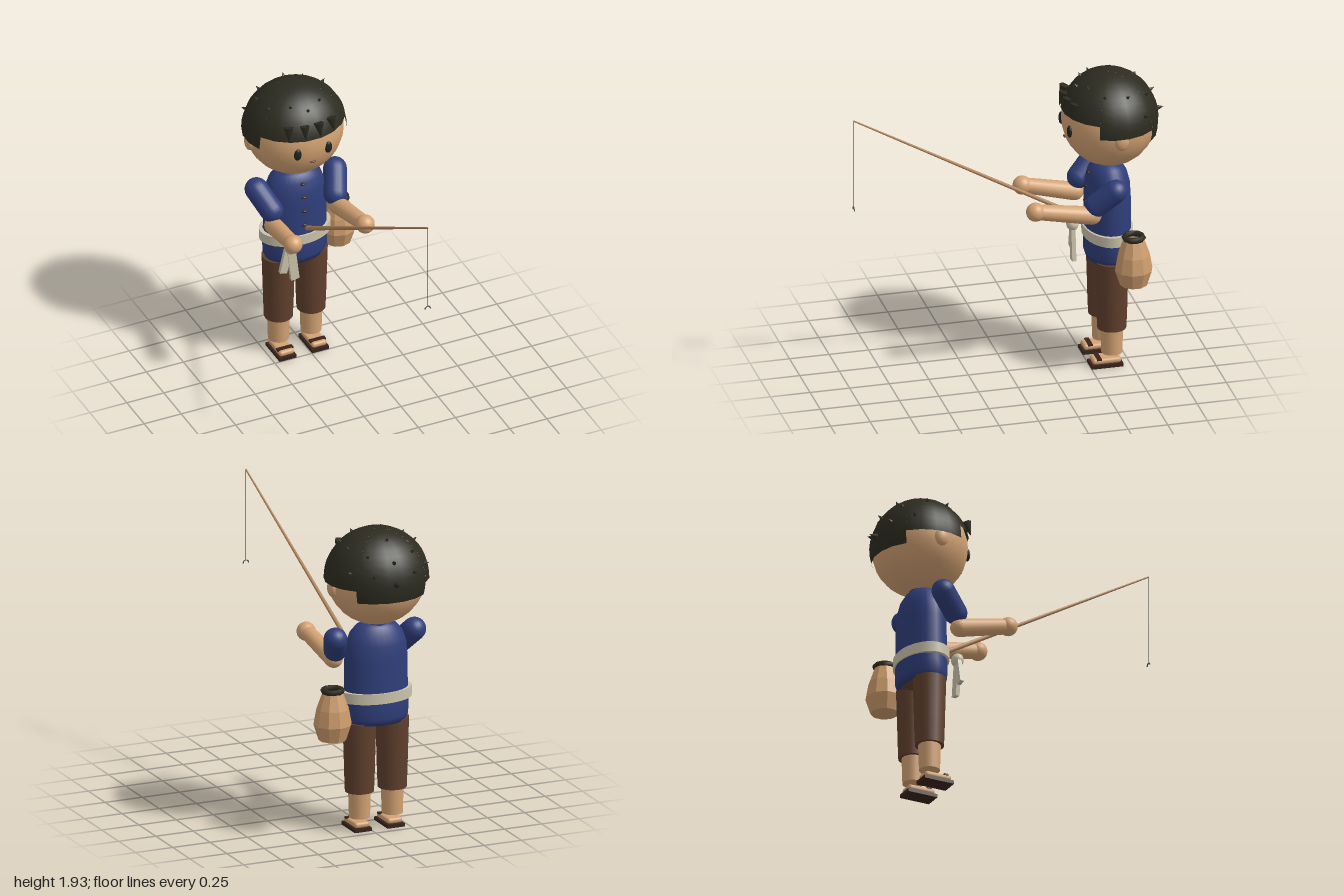
import * as THREE from 'three';
import { RoundedBoxGeometry } from 'three/addons/geometries/RoundedBoxGeometry.js';

const V = (x, y, z) => new THREE.Vector3(x, y, z);
const UP = V(0, 1, 0);
const CX = -0.05, CZ = -0.64; // body axis

export function createModel() {
  const group = new THREE.Group();
  const mat = (name, color, opts = {}) => {
    const m = new THREE.MeshStandardMaterial({ color, ...opts });
    m.name = name;
    return m;
  };
  const skin = mat('skin', 0xd3a273);
  const hair = mat('hair', 0x2c2b20, { side: THREE.DoubleSide });
  const blue = mat('blue cloth', 0x2f3e7a);
  const brown = mat('brown trousers', 0x60402d);
  const cream = mat('cream sash', 0xcbc3ab);
  const sandalMat = mat('sandal brown', 0x38231c);
  const wood = mat('rod wood', 0xb0845a);
  const wicker = mat('basket wicker', 0xcc9c6c, { flatShading: true, side: THREE.DoubleSide });
  const dark = mat('dark', 0x20221f);
  const grey = mat('hook grey', 0x55585a);

  const add = (name, geo, material, x = 0, y = 0, z = 0) => {
    const m = new THREE.Mesh(geo, material);
    m.name = name;
    m.position.set(x, y, z);
    group.add(m);
    return m;
  };
  const ball = (name, material, p, rx, ry = rx, rz = rx) => {
    const m = add(name, new THREE.SphereGeometry(1, 24, 16), material, p.x, p.y, p.z);
    m.scale.set(rx, ry, rz);
    return m;
  };
  const orient = (m, dir) => {
    m.quaternion.setFromUnitVectors(UP, dir.clone().normalize());
    return m;
  };
  // Tapered cylinder from a to b
  const limb = (name, material, a, b, ra, rb, sides = 16) => {
    const d = b.clone().sub(a), c = a.clone().lerp(b, 0.5);
    return orient(add(name, new THREE.CylinderGeometry(rb, ra, d.length(), sides), material, c.x, c.y, c.z), d);
  };

  // Head and face
  const HC = V(CX, 1.615, -0.65);
  ball('head', skin, HC, 0.308, 0.298, 0.292);
  ball('mouth', brown, V(CX - 0.002, 1.518, -0.371), 0.02, 0.007, 0.008);
  for (const s of [-1, 1]) {
    ball('ear', skin, V(CX + s * 0.3, 1.578, -0.655), 0.028, 0.056, 0.045);
    ball('eye', dark, V(CX + s * 0.103, 1.595, -0.375), 0.025, 0.04, 0.015);
  }

  // Hair cap: front, two sides and back, each reaching a different height
  const HR = V(0.328, 0.315, 0.304);
  const rad = THREE.MathUtils.degToRad;
  [['hairFront', 26, 154, 1.69], ['hairSide', 154, 225, 1.605],
    ['hairBack', 225, 315, 1.525], ['hairSide', 315, 386, 1.605]].forEach(([name, a, b, low]) => {
    const end = Math.acos((low - HC.y) / HR.y);
    const g = new THREE.SphereGeometry(1, Math.round((b - a) / 18), 12, rad(a), rad(b - a), 0, end);
    add(name, g, hair, HC.x, HC.y, HC.z).scale.copy(HR);
  });

  // Hair spikes: azimuth from the front, elevation, size
  const spike = (az, el, size) => {
    const d = V(Math.sin(rad(az)) * Math.cos(rad(el)), Math.sin(rad(el)), Math.cos(rad(az)) * Math.cos(rad(el)));
    const p = d.clone().multiply(HR).multiplyScalar(0.98).add(HC);
    orient(add('hairSpike', new THREE.ConeGeometry(size * 0.42, size, 6), hair, p.x, p.y, p.z), d);
  };
  [[30, 54], [68, 47], [107, 45], [145, 38], [125, 18], [155, 15]].forEach(([az, el]) => {
    spike(az, el, 0.06);
    spike(-az, el, 0.06);
  });
  [[0, 48, 0.06], [180, 60, 0.06], [180, 30, 0.07], [180, 5, 0.1]].forEach(a => spike(...a));

  // Fringe tufts pointing down over the brow
  for (const x of [-0.2, -0.105, -0.01, 0.085]) {
    const dx = x - CX, z = HC.z + 0.285 * Math.sqrt(1 - (dx / 0.33) ** 2);
    limb('fringeTuft', hair, V(x, 1.79, z - 0.012), V(x + dx * 0.06, 1.7, z + 0.018), 0.032, 0, 6);
  }

  // Tunic
  const profile = [[0, 0.69], [0.19, 0.69], [0.208, 0.73], [0.21, 0.8], [0.205, 0.95], [0.203, 1.1],
    [0.195, 1.19], [0.17, 1.26], [0.13, 1.305], [0.08, 1.33], [0, 1.335]];
  const tunic = add('tunic', new THREE.LatheGeometry(profile.map(p => new THREE.Vector2(...p)), 28), blue, CX, 0, CZ);
  tunic.scale.z = 0.69;
  limb('collar', blue, V(CX, 1.24, CZ), V(CX, 1.34, CZ), 0.085, 0.075, 20);
  [[1.26, 0.122], [1.17, 0.136], [1.07, 0.14], [0.97, 0.141]].forEach(([y, dz]) =>
    ball('button', sandalMat, V(CX, y, CZ + dz), 0.018, 0.009, 0.012));
  ball('hips', brown, V(CX, 0.73, CZ), 0.2, 0.07, 0.135);

  // Sash with knot and hanging tails
  const sash = add('sash', new THREE.CylinderGeometry(0.232, 0.232, 0.066, 28), cream, CX, 0.868, CZ);
  sash.scale.z = 0.66;
  ball('sashKnot', cream, V(-0.165, 0.865, -0.45), 0.043, 0.043, 0.038);
  const tail = (x, y, z, w, h, tilt) => {
    add('sashTail', new THREE.BoxGeometry(w, h, 0.026), cream, x, y, z).rotation.z = tilt;
  };
  tail(-0.2, 0.77, -0.456, 0.048, 0.16, -0.22);
  tail(-0.152, 0.735, -0.449, 0.055, 0.21, 0.12);

  // Legs, feet and sandals
  for (const s of [-1, 1]) {
    const x = CX + s * 0.11;
    limb('trouserThigh', brown, V(x, 0.4, CZ), V(x, 0.7, CZ), 0.095, 0.104, 20);
    limb('trouserCalf', brown, V(x, 0.25, CZ), V(x, 0.41, CZ), 0.09, 0.096, 20);
    limb('shin', skin, V(x, 0.083, CZ), V(x, 0.28, CZ), 0.065, 0.071, 18);
    add('foot', new RoundedBoxGeometry(0.1, 0.036, 0.18, 2, 0.016), skin, x, 0.04, -0.6);
    add('sandalSole', new THREE.BoxGeometry(0.115, 0.022, 0.2), sandalMat, x, 0.011, -0.6);
    add('sandalStrap', new THREE.BoxGeometry(0.106, 0.01, 0.03), sandalMat, x, 0.056, -0.55);
  }

  // Arms: rounded sleeves, forearms and hands
  const arm = (shoulder, elbow, wrist) => {
    const sleeveEnd = V(elbow.x, 1.13, -0.515);
    const d = sleeveEnd.clone().sub(shoulder), c = shoulder.clone().lerp(sleeveEnd, 0.5);
    orient(add('sleeve', new THREE.CapsuleGeometry(0.073, d.length(), 6, 18), blue, c.x, c.y, c.z), d);
    ball('elbow', skin, elbow, 0.056);
    limb('forearm', skin, elbow, wrist, 0.057, 0.048);
    ball('hand', skin, wrist, 0.059);
  };
  arm(V(0.215, 1.235, -0.625), V(0.165, 1.065, -0.49), V(0.185, 1.14, -0.127));
  arm(V(-0.315, 1.235, -0.625), V(-0.265, 1.035, -0.49), V(-0.285, 1.105, -0.163));

  // Fishing rod, line and hook
  const tip = V(0.08, 1.84, 0.995);
  limb('rod', wood, V(CX, 0.97, -0.46), tip, 0.015, 0.005, 10);
  limb('fishingLine', dark, V(0.08, 1.255, 0.995), tip, 0.002, 0.002, 5);
  add('hook', new THREE.TorusGeometry(0.018, 0.004, 6, 12, Math.PI), grey, 0.08, 1.24, 0.995);

  // Faceted basket at the left hip, open at the top
  const pot = [[0, 0.63], [0.086, 0.63], [0.118, 0.73], [0.1, 0.83], [0.064, 0.93]].map(p => new THREE.Vector2(...p));
  add('basket', new THREE.LatheGeometry(pot, 10), wicker, 0.278, 0, -0.722);
  const rim = add('basketRim', new THREE.TorusGeometry(0.058, 0.018, 6, 10), hair, 0.278, 0.943, -0.722);
  rim.rotation.x = Math.PI / 2;

  return group;
}
